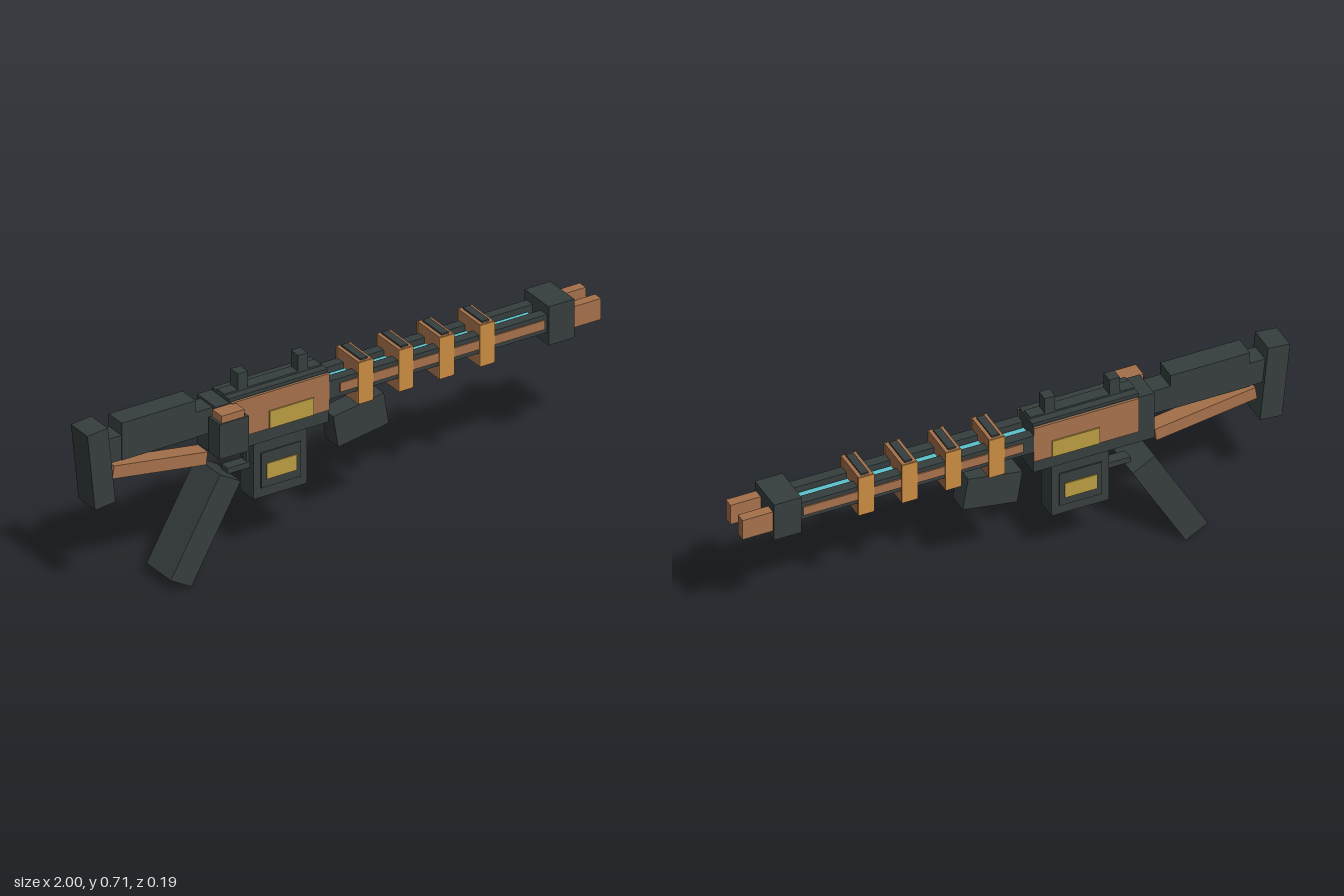
import * as THREE from 'three';

const material = (name, color) => new THREE.MeshStandardMaterial({ name, color });

export function createModel() {
  const dark = material('gunmetal', 0x363e3e);
  const copper = material('copper', 0xa4704a);
  const amber = material('amber', 0xc88c42);
  const gold = material('gold', 0xb99b41);
  const cyan = material('cyan', 0x5cc2cc);

  const group = new THREE.Group();
  const Z = -0.021; // middle plane of the main body

  // box from its x, y and z ranges
  function box(name, mat, [x0, x1], [y0, y1], [z0, z1]) {
    const mesh = new THREE.Mesh(new THREE.BoxGeometry(x1 - x0, y1 - y0, z1 - z0), mat);
    mesh.position.set((x0 + x1) / 2, (y0 + y1) / 2, (z0 + z1) / 2);
    mesh.name = name;
    group.add(mesh);
    return mesh;
  }
  // range of half width w around the middle plane
  const mid = (w) => [Z - w, Z + w];
  // tilted box given by its centre, size and angle
  function tilted(name, mat, x, y, w, h, depth, angle) {
    const mesh = box(name, mat, [x - w / 2, x + w / 2], [y - h / 2, y + h / 2], mid(depth / 2));
    mesh.rotation.z = angle;
  }
  // matching boxes on both sides, from near to far off the middle plane
  function pair(name, mat, xs, ys, near, far) {
    box(name + 'Left', mat, xs, ys, [Z + near, Z + far]);
    box(name + 'Right', mat, xs, ys, [Z - far, Z - near]);
  }

  // stock
  tilted('buttPlate', dark, -0.942, 0.527, 0.08, 0.285, 0.1, 0.105);
  box('stockBeam', dark, [-0.92, -0.49], [0.53, 0.622], mid(0.037));
  box('cheekRest', dark, [-0.856, -0.567], [0.53, 0.668], mid(0.04));
  tilted('stockStrut', copper, -0.7, 0.461, 0.37, 0.047, 0.06, -0.147);

  // rear grip and trigger
  tilted('rearGrip', dark, -0.55, 0.193, 0.093, 0.388, 0.146, -0.519);
  box('triggerGuard', dark, [-0.43, -0.34], [0.345, 0.366], mid(0.02));
  box('trigger', dark, [-0.352, -0.34], [0.366, 0.447], mid(0.012));

  // receiver with side panels and name plates left blank
  box('receiver', dark, [-0.5, -0.06], [0.447, 0.63], mid(0.056));
  box('receiverTop', dark, [-0.445, -0.06], [0.63, 0.642], mid(0.05));
  box('topRail', dark, [-0.445, -0.065], [0.642, 0.648], mid(0.022));
  pair('sidePanel', copper, [-0.44, -0.06], [0.495, 0.631], 0.056, 0.063);
  pair('receiverPlate', gold, [-0.296, -0.124], [0.497, 0.561], 0.063, 0.068);
  for (const x of [-0.372, -0.137]) {
    box('sight', dark, [x - 0.019, x + 0.019], [0.64, 0.707], mid(0.022));
  }

  // box on the left side
  box('sideBox', dark, [-0.524, -0.41], [0.47, 0.6], [0.03, 0.096]);
  box('sideBoxCap', copper, [-0.514, -0.425], [0.6, 0.627], [0.035, 0.093]);

  // magazine
  box('magazine', dark, [-0.342, -0.134], [0.234, 0.447], mid(0.041));
  pair('magazinePanel', dark, [-0.315, -0.16], [0.27, 0.4], 0.041, 0.046);
  pair('magazinePlate', gold, [-0.296, -0.178], [0.3, 0.358], 0.046, 0.05);

  // twin rails around a glowing core
  tilted('foreGrip', dark, 0.079, 0.406, 0.2, 0.12, 0.077, 0.16);
  pair('rail', dark, [-0.06, 0.79], [0.533, 0.6], 0.024, 0.061);
  pair('railStrip', copper, [-0.02, 0.78], [0.55, 0.584], 0.061, 0.066);
  box('energyCore', cyan, [-0.06, 0.765], [0.55, 0.582], mid(0.017));

  // bands clamped round the rails
  for (const x of [0.078, 0.236, 0.395, 0.553]) {
    box('band', copper, [x - 0.027, x + 0.027], [0.484, 0.641], mid(0.066));
    pair('bandSide', amber, [x - 0.029, x + 0.029], [0.488, 0.64], 0.063, 0.069);
    box('bandTopInset', dark, [x - 0.014, x + 0.014], [0.641, 0.647], mid(0.058));
    box('bandBottomInset', dark, [x - 0.014, x + 0.014], [0.479, 0.484], mid(0.058));
  }

  // muzzle block and prongs
  box('muzzleBlock', dark, [0.79, 0.89], [0.49, 0.634], mid(0.073));
  pair('prong', copper, [0.89, 1.0], [0.522, 0.6], 0.028, 0.064);

  return group;
}
